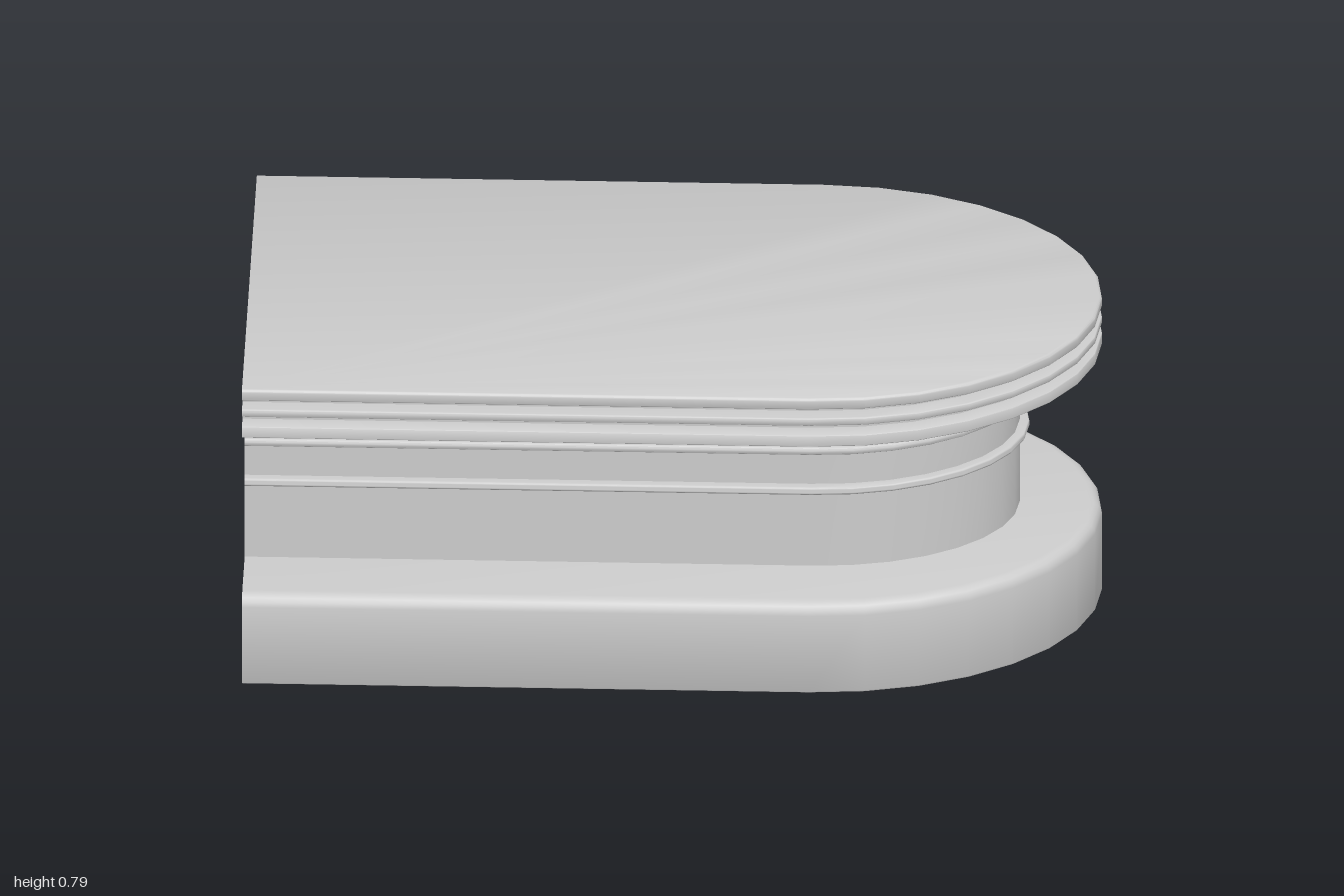
import * as THREE from 'three';
import { toCreasedNormals } from 'three/addons/utils/BufferGeometryUtils.js';

const HALF = 0.525, TIP = 1, BACK = -1, ARC_X = 0.33, ARC_STEPS = 16;

// Plan outline, inset by d: straight sides, elliptical nose, open at the flat back
function outline(d) {
  const b = HALF - d, a = TIP - ARC_X - d;
  const points = [[BACK, b]];
  for (let i = 0; i <= ARC_STEPS; i++) {
    const t = Math.PI / 2 - (Math.PI * i) / ARC_STEPS;
    points.push([ARC_X + a * Math.cos(t), b * Math.sin(t)]);
  }
  points.push([BACK, -b]);
  return points;
}

// Profile of a band from y0 to y1 with its lower and upper outer edges rounded
function band(inset, y0, y1, rLow, rHigh) {
  const points = [], steps = 4;
  for (let i = 0; i <= steps; i++) {
    const t = (i / steps) * Math.PI / 2;
    points.push([inset + rLow * (1 - Math.sin(t)), y0 + rLow * (1 - Math.cos(t))]);
  }
  for (let i = 0; i <= steps; i++) {
    const t = (i / steps) * Math.PI / 2;
    points.push([inset + rHigh * (1 - Math.cos(t)), y1 - rHigh * (1 - Math.sin(t))]);
  }
  return points;
}

// Sweeps a profile of [inset, y] points around the outline and closes the flat back
function sweep(name, profile, capped) {
  const pos = [], index = [], rows = profile.length, n = ARC_STEPS + 3;
  for (const [d, y] of profile) {
    for (const [x, z] of outline(d)) pos.push(x, y, z);
  }
  const quad = (a, b, c, d) => index.push(a, b, c, a, c, d);
  for (let j = 0; j < rows - 1; j++) {
    const lo = j * n, hi = lo + n;
    for (let i = 0; i < n - 1; i++) quad(lo + i, lo + i + 1, hi + i + 1, hi + i);
    if (profile[j + 1][1] > profile[j][1]) quad(lo + n - 1, lo, hi, hi + n - 1);
  }
  if (capped) {
    const top = (rows - 1) * n;
    for (let i = 1; i < n - 1; i++) {
      index.push(top, top + i, top + i + 1);
      index.push(0, i + 1, i);
    }
  }
  const geometry = new THREE.BufferGeometry();
  geometry.setAttribute('position', new THREE.Float32BufferAttribute(pos, 3));
  geometry.setIndex(index);
  const mesh = new THREE.Mesh(
    toCreasedNormals(geometry, 0.6),
    new THREE.MeshStandardMaterial({ color: 0xcccccc })
  );
  mesh.name = name;
  return mesh;
}

export function createModel() {
  const group = new THREE.Group();
  group.name = 'roundedCounter';

  // Plinth with a softened upper edge
  group.add(sweep('base', band(0, 0, 0.235, 0.005, 0.03), true));

  // Recessed body with two raised beads
  const body = 0.193, neck = [[body, 0.235]];
  for (const y of [0.444, 0.551]) {
    neck.push([body, y - 0.01], ...band(0.17, y - 0.01, y + 0.01, 0.007, 0.007), [body, y + 0.01]);
  }
  neck.push([body, 0.658]);
  group.add(sweep('body', neck, false));

  // Overhanging top: three lips separated by two grooves
  const groove = 0.04;
  group.add(sweep('top', [
    ...band(0, 0.658, 0.688, 0.003, 0.003),
    [groove, 0.688], [groove, 0.713],
    ...band(0, 0.713, 0.733, 0.005, 0.005),
    [groove, 0.733], [groove, 0.756],
    ...band(0, 0.756, 0.787, 0.007, 0.009),
  ], true));

  return group;
}
